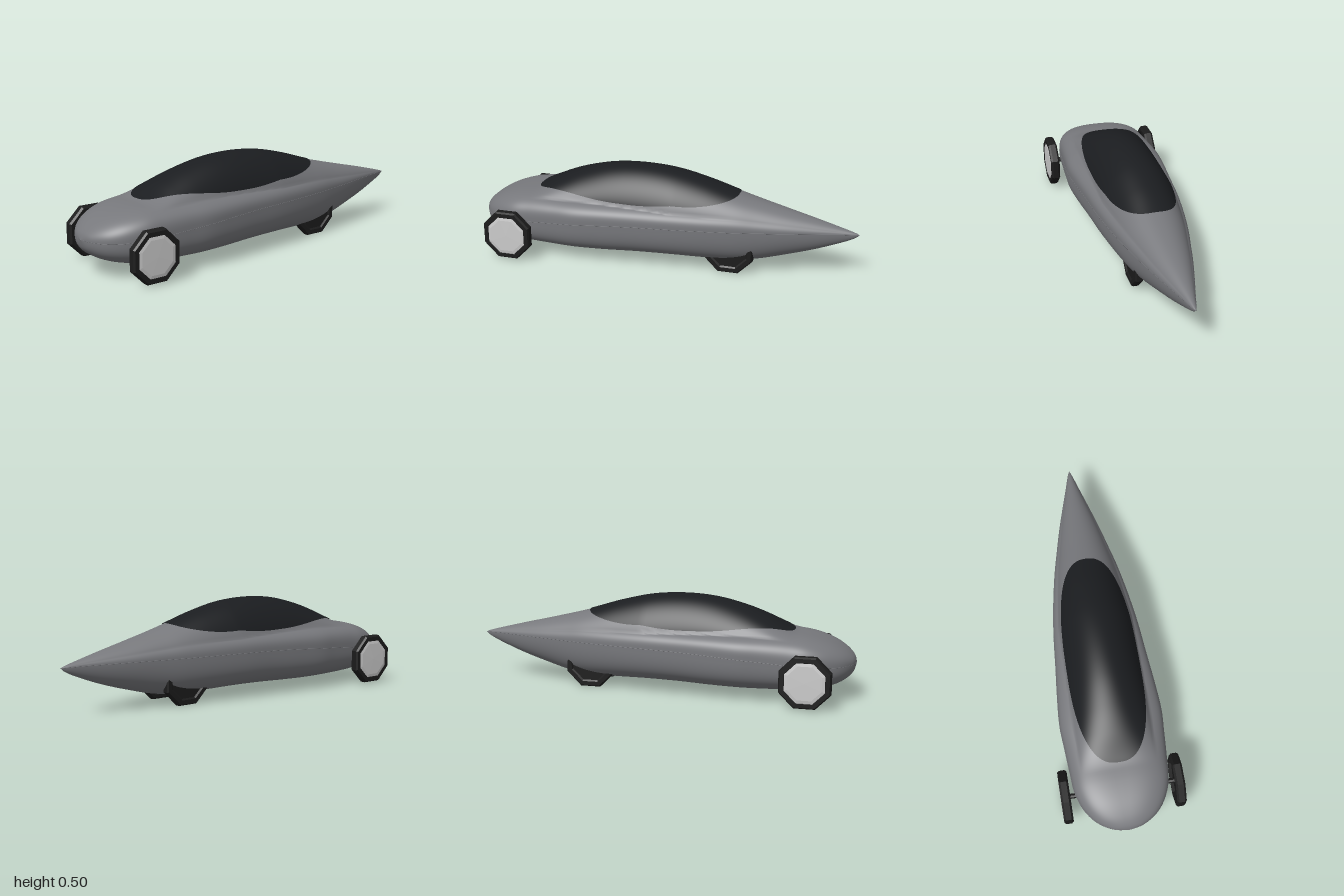
import * as THREE from 'three';

// Hull stations: z, half width, bottom y, seam y, shoulder y, crown y, squareness
const STATIONS = [
  [1.00, 0.000, 0.188, 0.188, 0.188, 0.188, 2.3],
  [0.985, 0.075, 0.140, 0.188, 0.222, 0.222, 2.4],
  [0.94, 0.150, 0.100, 0.189, 0.260, 0.260, 2.6],
  [0.87, 0.205, 0.073, 0.192, 0.295, 0.295, 2.8],
  [0.78, 0.238, 0.057, 0.197, 0.320, 0.320, 3.0],
  [0.68, 0.247, 0.050, 0.203, 0.332, 0.338, 3.1],
  [0.55, 0.256, 0.047, 0.213, 0.336, 0.402, 3.2],
  [0.43, 0.263, 0.046, 0.221, 0.338, 0.447, 3.2],
  [0.28, 0.253, 0.048, 0.230, 0.338, 0.482, 3.2],
  [0.12, 0.238, 0.052, 0.236, 0.338, 0.493, 3.1],
  [-0.05, 0.223, 0.053, 0.239, 0.338, 0.481, 3.0],
  [-0.22, 0.200, 0.048, 0.240, 0.336, 0.443, 2.8],
  [-0.38, 0.171, 0.046, 0.240, 0.332, 0.394, 2.6],
  [-0.50, 0.143, 0.058, 0.240, 0.320, 0.362, 2.4],
  [-0.64, 0.108, 0.093, 0.240, 0.303, 0.328, 2.2],
  [-0.78, 0.068, 0.135, 0.239, 0.281, 0.295, 2.1],
  [-0.90, 0.032, 0.180, 0.238, 0.260, 0.265, 2.0],
  [-0.97, 0.012, 0.212, 0.236, 0.245, 0.246, 2.0],
  [-1.00, 0.000, 0.235, 0.235, 0.235, 0.235, 2.0],
];
const LAST = STATIONS.length - 1;

const paint = (color, extra = {}) => {
  const m = new THREE.MeshStandardMaterial(extra);
  m.color.set(color);
  return m;
};

function named(name, geometry, material) {
  const mesh = new THREE.Mesh(geometry, material);
  mesh.name = name;
  return mesh;
}

// Smoothly interpolated station at t in 0..1
function station(t) {
  const p = t * LAST;
  const i = Math.min(Math.floor(p), LAST - 1);
  const f = p - i;
  const row = k => STATIONS[Math.max(0, Math.min(LAST, k))];
  const v = row(i).map((b, c) => {
    const a = row(i - 1)[c], d = row(i + 1)[c], e = row(i + 2)[c];
    return b + 0.5 * f * (d - a + f * (2 * a - 5 * b + 4 * d - e + f * (3 * (b - d) + e - a)));
  });
  const [z, w, bottom, seam, shoulder, crown, n] = v;
  return { z, w: Math.max(w, 0), bottom, seam, shoulder, crown, n };
}

function stationAtZ(z) {
  let lo = 0, hi = 1;
  for (let k = 0; k < 40; k++) {
    const mid = (lo + hi) / 2;
    if (station(mid).z > z) lo = mid; else hi = mid;
  }
  return station(lo);
}

// Rounded bulge of the cabin above the shoulder line
function bulge(s, x) {
  const half = Math.min(0.19, 0.86 * s.w);
  const k = half > 0 ? 1 - (x / half) ** 2 : 0;
  return k > 0 ? Math.max(0, s.crown - s.shoulder) * k ** 0.75 : 0;
}

function topY(s, x) {
  const k = s.w > 0 ? Math.max(0, 1 - Math.abs(x / s.w) ** s.n) : 0;
  return s.seam + (s.shoulder - s.seam) * k ** (1 / s.n) + bulge(s, x);
}

// Skin equal-length rings of [x, y, z]
function loft(rings, closed) {
  const m = rings[0].length, index = [];
  for (let i = 0; i < rings.length - 1; i++) {
    for (let j = 0; j < (closed ? m : m - 1); j++) {
      const a = i * m + j, b = i * m + (j + 1) % m;
      index.push(a, a + m, b, b, a + m, b + m);
    }
  }
  const g = new THREE.BufferGeometry();
  g.setAttribute('position', new THREE.Float32BufferAttribute(rings.flat(2), 3));
  g.setIndex(index);
  g.computeVertexNormals();
  return g;
}

function hullGeometry() {
  const rings = [], rows = 144, sides = 120;
  for (let i = 0; i <= rows; i++) {
    const s = station(0.0005 + 0.999 * i / rows), ring = [];
    for (let j = 0; j < sides; j++) {
      const a = j / sides * Math.PI * 2, c = Math.cos(a), d = Math.sin(a);
      const x = s.w * Math.sign(c) * Math.abs(c) ** (2 / s.n);
      const rise = Math.abs(d) ** (2 / s.n);
      const y = d >= 0
        ? s.seam + (s.shoulder - s.seam) * rise + bulge(s, x)
        : s.seam - (s.seam - s.bottom) * rise;
      ring.push([x, y, s.z]);
    }
    rings.push(ring);
  }
  return loft(rings, true);
}

// Dark glazing: an oval patch lying just above the hull skin
function canopyGeometry() {
  const rings = [], rows = 80, cols = 48;
  for (let i = 0; i <= rows; i++) {
    const q = Math.cos(Math.PI * i / rows);
    const z = 0.2 + q * (q > 0 ? 0.49 : 0.59);
    const half = 0.187 * Math.max(0, 1 - Math.abs(q) ** 2.6) ** (1 / 2.6);
    const s = stationAtZ(z), ring = [];
    for (let j = 0; j <= cols; j++) {
      const x = half * Math.cos(Math.PI * j / cols);
      ring.push([x, topY(s, x) + 0.004, z]);
    }
    rings.push(ring);
  }
  return loft(rings, false);
}

// Eight-sided solid of revolution about the x axis
function turned(profile) {
  return new THREE.LatheGeometry(profile.map(p => new THREE.Vector2(...p)), 8)
    .rotateY(Math.PI / 8).rotateZ(-Math.PI / 2);
}

export function createModel() {
  const model = new THREE.Group();
  const bodyPaint = paint(0x77787c);
  const glass = paint(0x1b1d20, { side: THREE.DoubleSide });
  const rubber = paint(0x1c1c1c, { flatShading: true });
  const metal = paint(0xcccccc, { flatShading: true });

  model.add(named('body', hullGeometry(), bodyPaint));
  model.add(named('canopy', canopyGeometry(), glass));

  // Fine joint line along both flanks and around the nose
  const line = [];
  for (const side of [-1, 1]) {
    for (let i = 0; i <= 40; i++) {
      const s = station(side < 0 ? 1 - i / 40 : i / 40);
      if (side < 0 || i > 0) line.push(new THREE.Vector3(side * s.w, s.seam, s.z));
    }
  }
  const seam = new THREE.TubeGeometry(new THREE.CatmullRomCurve3(line), 200, 0.0012, 5);
  model.add(named('bodySeam', seam, bodyPaint));

  // Wheels: front pair exposed on stub axles, rear pair tucked into the hull
  const tyre = h => turned([
    [0, -h * 0.4], [0.1, -h * 0.4], [0.112, -h], [0.128, -h], [0.137, -h * 0.6],
    [0.137, h * 0.6], [0.13, h], [0.108, h], [0.1, h * 0.7], [0, h * 0.7],
  ]);
  const frontTyre = tyre(0.024), rearTyre = tyre(0.023);
  const hub = turned([[0.108, 0.015], [0.108, 0.022], [0.09, 0.025], [0, 0.026]]);
  const axle = new THREE.CylinderGeometry(0.013, 0.013, 0.1, 8).rotateZ(Math.PI / 2);

  for (const [sideName, side] of [['left', 1], ['right', -1]]) {
    const front = new THREE.Group();
    front.name = sideName + 'FrontWheel';
    front.add(named('tyre', frontTyre, rubber), named('hubDisc', hub, metal));
    const stub = named('axle', axle, rubber);
    stub.position.x = -0.06;
    front.add(stub);
    front.position.set(side * 0.286, 0.136, 0.78);
    if (side < 0) front.rotation.y = Math.PI;
    model.add(front);

    const rear = named(sideName + 'RearWheel', rearTyre, rubber);
    rear.position.set(side * 0.11, 0.127, -0.36);
    if (side < 0) rear.rotation.y = Math.PI;
    model.add(rear);
  }
  return model;
}
